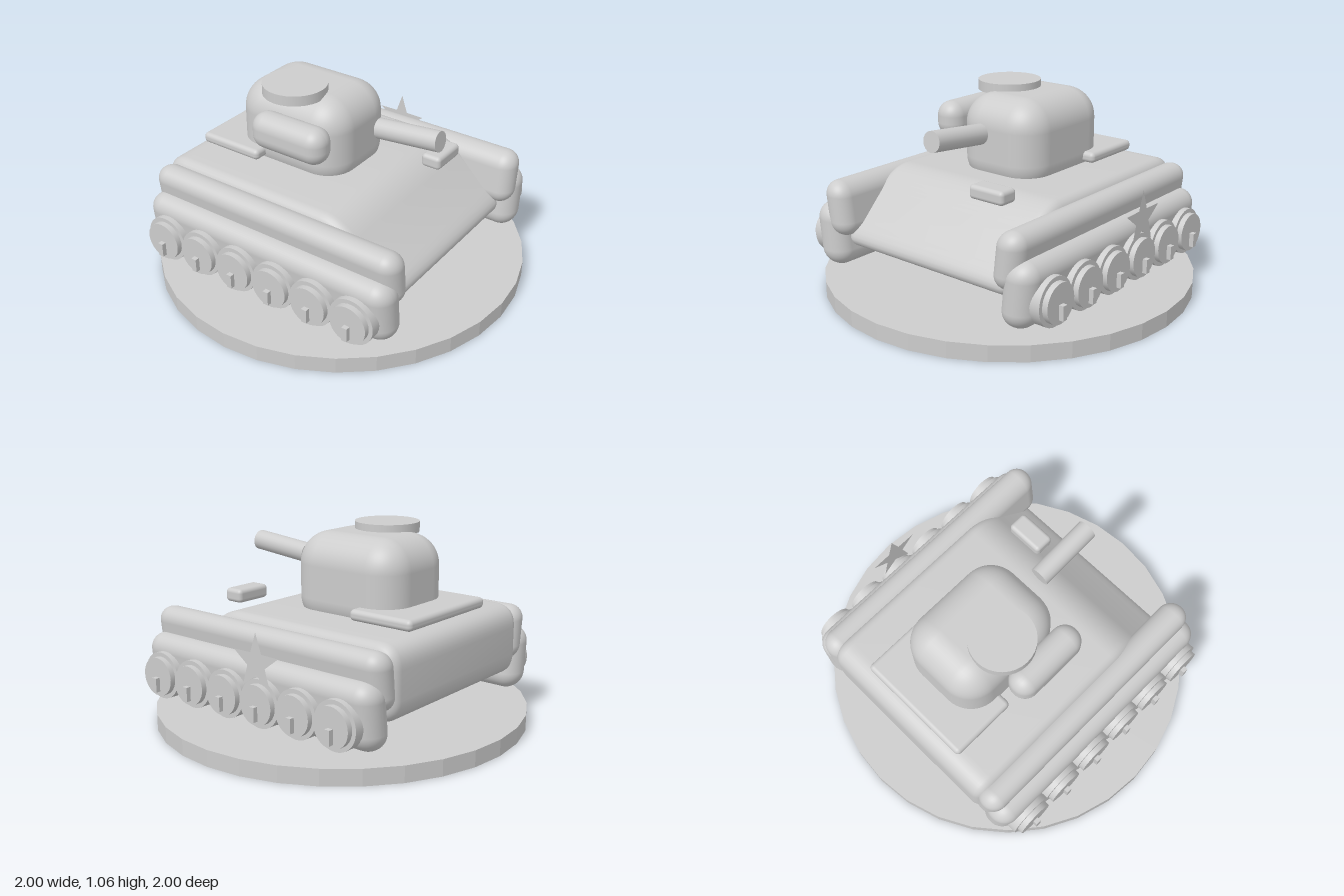
import * as THREE from 'three';
import { RoundedBoxGeometry } from 'three/addons/geometries/RoundedBoxGeometry.js';
import { toCreasedNormals } from 'three/addons/utils/BufferGeometryUtils.js';

const grey = new THREE.MeshStandardMaterial({ color: 0xcccccc });
grey.name = 'plain grey';
const greySheet = new THREE.MeshStandardMaterial({ color: 0xcccccc, side: THREE.DoubleSide });
greySheet.name = 'plain grey sheet';

function add(parent, name, geometry, x = 0, y = 0, z = 0, material = grey) {
  const mesh = new THREE.Mesh(geometry, material);
  mesh.name = name;
  mesh.position.set(x, y, z);
  parent.add(mesh);
  return mesh;
}

// Rounded box given by its limits on each axis, with an optional sideways lean
function softBox(parent, name, [x0, x1], [y0, y1], [z0, z1], radius, lean = 0) {
  const geo = new RoundedBoxGeometry(x1 - x0, y1 - y0, z1 - z0, 6, radius);
  if (lean) geo.applyMatrix4(new THREE.Matrix4().makeShear(0, 0, lean, 0, 0, 0));
  return add(parent, name, geo, (x0 + x1) / 2, (y0 + y1) / 2, (z0 + z1) / 2);
}

// Hull: side profile with a sloping front, extruded across the width
function hullGeometry() {
  const s = new THREE.Shape();
  s.moveTo(-0.64, 0.24);
  s.lineTo(0.56, 0.24);
  s.bezierCurveTo(0.69, 0.24, 0.73, 0.3, 0.62, 0.38);
  s.lineTo(0.46, 0.52);
  s.quadraticCurveTo(0.36, 0.625, 0.25, 0.625);
  s.lineTo(-0.64, 0.625);
  s.quadraticCurveTo(-0.76, 0.625, -0.76, 0.505);
  s.lineTo(-0.76, 0.36);
  s.quadraticCurveTo(-0.76, 0.24, -0.64, 0.24);
  const half = 0.55, r = 0.06;
  const geo = new THREE.ExtrudeGeometry(s, {
    depth: 2 * (half - r), curveSegments: 10,
    bevelEnabled: true, bevelSize: r, bevelThickness: r, bevelOffset: -r, bevelSegments: 6,
  });
  geo.translate(0, 0, r - half);
  geo.rotateY(-Math.PI / 2);
  return toCreasedNormals(geo, 0.7);
}

function starGeometry(outer, inner) {
  const points = [];
  for (let i = 0; i < 10; i++) {
    const a = Math.PI / 2 + (i * Math.PI) / 5;
    const r = i % 2 ? inner : outer;
    points.push(new THREE.Vector2(r * Math.cos(a), r * Math.sin(a)));
  }
  return new THREE.ShapeGeometry(new THREE.Shape(points)).rotateY(Math.PI / 2);
}

// Disc lying across the x axis, from x0 to x1
function axleDisc(parent, name, radius, x0, x1) {
  const geo = new THREE.CylinderGeometry(radius, radius, x1 - x0, 32).rotateZ(Math.PI / 2);
  return add(parent, name, geo, (x0 + x1) / 2);
}

function runningGear(side) {
  const gear = new THREE.Group();
  gear.name = side > 0 ? 'leftRunningGear' : 'rightRunningGear';
  const span = (a, b) => (side > 0 ? [a, b] : [-b, -a]);
  softBox(gear, 'fender', span(0.49, 0.65), [0.31, 0.605], [-0.757, 0.75], 0.079, 0.12 * side);
  softBox(gear, 'track', span(0.535, 0.72), [0.135, 0.475], [-0.755, 0.755], 0.09, 0.1 * side);
  for (let i = 0; i < 6; i++) {
    const wheel = new THREE.Group();
    wheel.name = 'wheel' + (i + 1);
    wheel.position.set(0, 0.275, 0.59 - i * 0.235);
    axleDisc(wheel, 'wheelRim', 0.124, ...span(0.66, 0.758));
    axleDisc(wheel, 'wheelHub', 0.102, ...span(0.74, 0.788));
    add(wheel, 'wheelTab', new THREE.BoxGeometry(0.05, 0.075, 0.03), side * 0.788, -0.04, 0);
    gear.add(wheel);
  }
  return gear;
}

export function createModel() {
  const model = new THREE.Group();
  model.name = 'tank';

  // Display base
  add(model, 'base', new THREE.CylinderGeometry(1, 1, 0.086, 32).toNonIndexed(), 0, 0.043, 0)
    .geometry.computeVertexNormals();

  // Body and tracks
  add(model, 'hull', hullGeometry());
  for (const side of [1, -1]) model.add(runningGear(side));

  // Turret with its hatch and side bin
  softBox(model, 'turret', [-0.26, 0.26], [0.52, 1.022], [-0.52, 0.147], 0.165);
  add(model, 'turretHatch', new THREE.CylinderGeometry(0.17, 0.17, 0.055, 32), -0.15, 1.032, -0.185);
  softBox(model, 'sideBin', [-0.417, -0.255], [0.76, 0.955], [-0.295, 0.15], 0.078);

  // Gun barrel, raised slightly
  const barrel = add(model, 'gunBarrel', new THREE.CylinderGeometry(0.054, 0.054, 0.357, 24), 0, 0.876, 0.413);
  barrel.rotation.x = Math.PI / 2 - 0.098;

  // Deck fittings
  softBox(model, 'rearDeckPlate', [-0.33, 0.325], [0.632, 0.69], [-0.683, -0.31], 0.024);
  softBox(model, 'frontDeckBlock', [0.155, 0.37], [0.617, 0.69], [0.392, 0.505], 0.022);

  // Flat star on the left side
  add(model, 'star', starGeometry(0.152, 0.06), 0.77, 0.48, -0.11, greySheet);

  return model;
}
